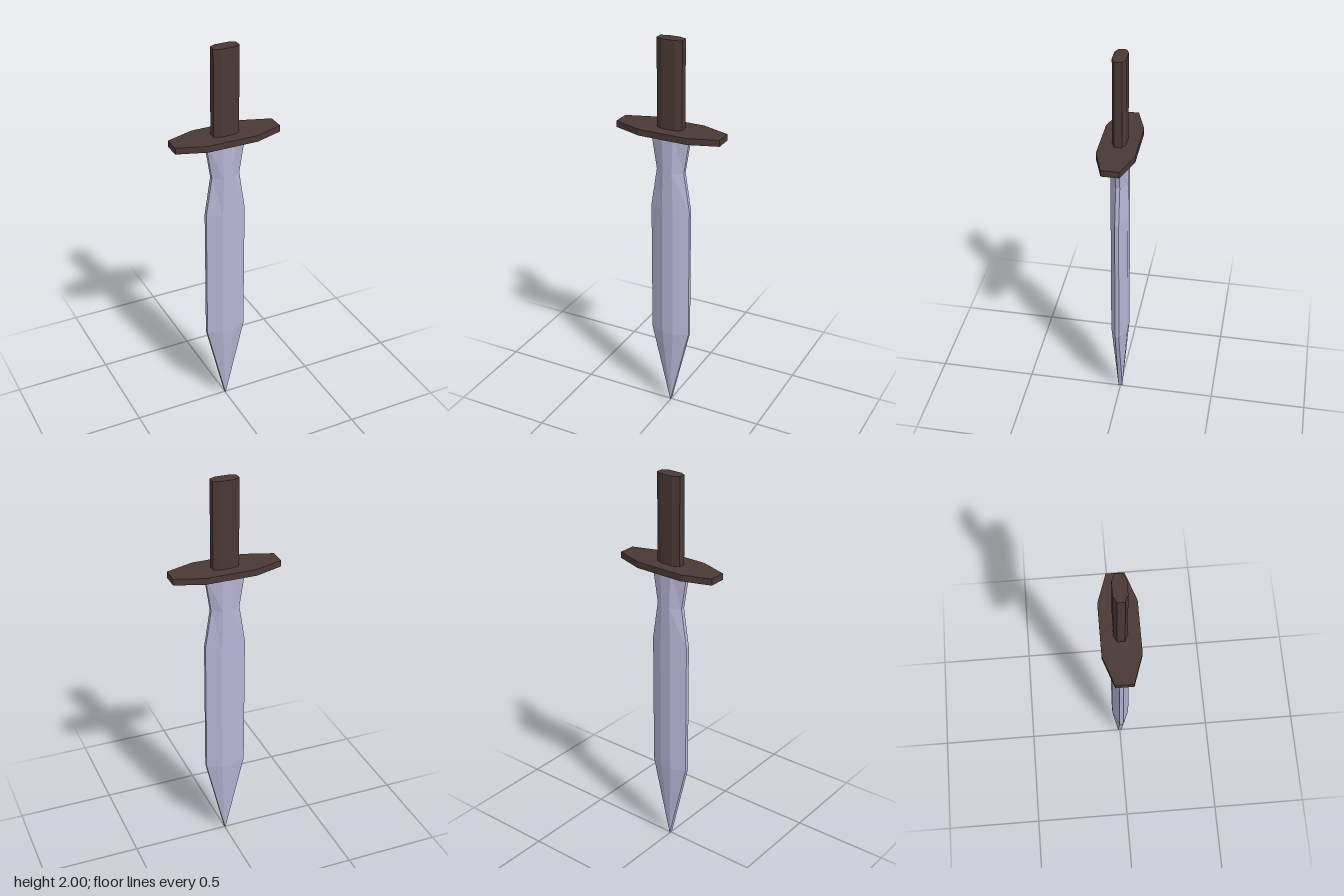
import * as THREE from 'three';

// Eight-sided section: hx, hz are half extents; fx, ez are half widths of the broad and narrow flats.
function octagon([y, hx, hz, fx, ez]) {
  return [
    [hx, ez], [fx, hz], [-fx, hz], [-hx, ez],
    [-hx, -ez], [-fx, -hz], [fx, -hz], [hx, -ez],
  ].map(([x, z]) => new THREE.Vector3(x, y, z));
}

// Skins sections listed from bottom to top and caps both ends, with flat faces.
function loft(name, color, sections) {
  const rings = sections.map(octagon);
  const points = [];
  for (let r = 0; r < rings.length - 1; r++) {
    const a = rings[r], b = rings[r + 1];
    for (let i = 0; i < 8; i++) {
      const j = (i + 1) % 8;
      points.push(a[i], b[j], b[i], a[i], a[j], b[j]);
    }
  }
  const bottom = rings[0], top = rings[rings.length - 1];
  for (let i = 1; i < 7; i++) {
    points.push(bottom[0], bottom[i + 1], bottom[i], top[0], top[i], top[i + 1]);
  }
  // Corners run clockwise seen from above, so each triangle is turned outward.
  for (let i = 0; i < points.length; i += 3) {
    [points[i + 1], points[i + 2]] = [points[i + 2], points[i + 1]];
  }
  const geometry = new THREE.BufferGeometry().setFromPoints(points);
  geometry.computeVertexNormals();
  const mesh = new THREE.Mesh(geometry, new THREE.MeshStandardMaterial({ color, flatShading: true }));
  mesh.name = name;
  return mesh;
}

export function createModel() {
  const group = new THREE.Group();
  group.name = 'dagger';
  const steel = 0xb8b5d6, wood = 0x4a3935;

  // Blade: chisel tip, straight body, narrow waist, flared shoulder
  group.add(loft('blade', steel, [
    [0, 0, 0.01, 0, 0.01],
    [0.435, 0.104, 0.043, 0.03, 0.01],
    [1.14, 0.104, 0.043, 0.03, 0.01],
    [1.34, 0.073, 0.043, 0.024, 0.01],
    [1.535, 0.104, 0.043, 0.03, 0.01],
  ]));

  // Crossguard plate with tapered ends
  group.add(loft('crossguard', wood, [1.53, 1.562].map((y) => [y, 0.273, 0.092, 0.129, 0.043])));

  // Grip with chamfered corners
  group.add(loft('grip', wood, [1.56, 2].map((y) => [y, 0.066, 0.033, 0.034, 0.018])));

  return group;
}
